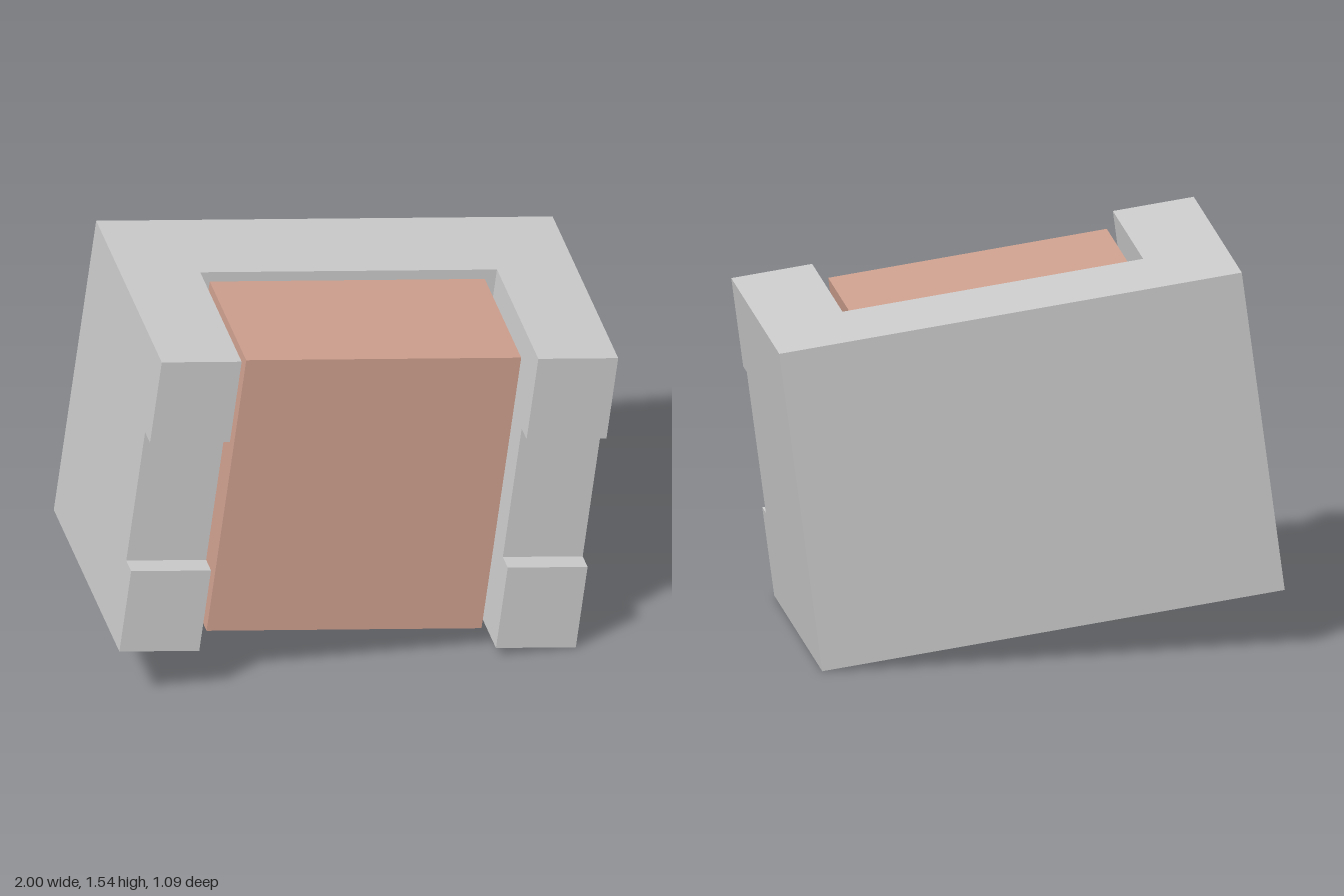
import * as THREE from 'three';

export function createModel() {
  const grey = new THREE.MeshStandardMaterial({ color: 0xcacaca });
  grey.name = 'light grey';
  const clay = new THREE.MeshStandardMaterial({ color: 0xcd9f8e });
  clay.name = 'terracotta';

  const halfW = 0.923, halfH = 0.653;      // outer block
  const back = -0.547, front = 0.547;
  const wallZ = -0.143, notchZ = 0.465;    // inner face of back wall, notch depth
  const openX = 0.6, notchY = 0.29;        // opening half width, notch half height

  const model = new THREE.Group();
  model.name = 'tiltedBlock';
  const body = new THREE.Group();
  body.name = 'body';
  body.position.y = 0.77;
  body.rotation.z = -0.1306;
  model.add(body);

  function add(name, geometry, material, x, z) {
    const mesh = new THREE.Mesh(geometry, material);
    mesh.name = name;
    mesh.position.set(x, 0, z);
    body.add(mesh);
  }

  // Back wall
  add('backWall', new THREE.BoxGeometry(halfW * 2, halfH * 2, wallZ - back), grey, 0, (back + wallZ) / 2);

  // Side walls: notched side profile (z, y) extruded across x
  const profile = new THREE.Shape([
    [wallZ, -halfH], [front, -halfH], [front, -notchY], [notchZ, -notchY],
    [notchZ, notchY], [front, notchY], [front, halfH], [wallZ, halfH],
  ].map(([z, y]) => new THREE.Vector2(z, y)));
  const wall = new THREE.ExtrudeGeometry(profile, { depth: halfW - openX, bevelEnabled: false });
  wall.rotateY(-Math.PI / 2);
  add('leftWall', wall, grey, halfW, 0);
  add('rightWall', wall, grey, -openX, 0);

  // Inset core block
  add('core', new THREE.BoxGeometry(1.112, 1.222, notchZ - wallZ), clay, 0, (wallZ + notchZ) / 2);

  return model;
}
